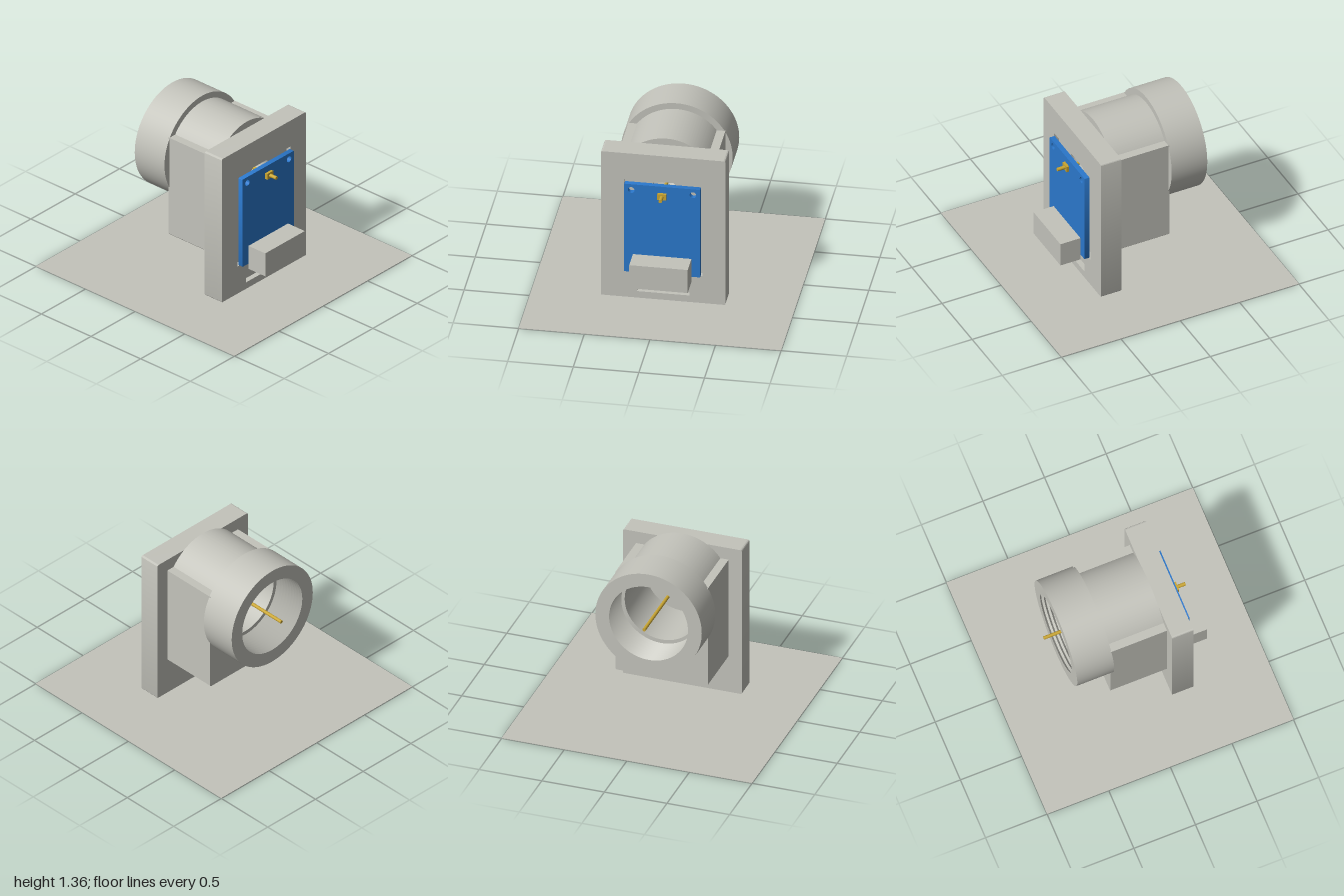
import * as THREE from 'three';
import { toCreasedNormals } from 'three/addons/utils/BufferGeometryUtils.js';

const AXIS_Y = 0.93; // height of the bore and connector axis

export function createModel() {
  const group = new THREE.Group();
  const mat = (name, color) => {
    const m = new THREE.MeshStandardMaterial({ color });
    m.name = name;
    return m;
  };
  const grey = mat('warm grey', 0xc3c3bb);
  const blue = mat('board blue', 0x2b78cc);
  const gold = mat('gold', 0xcaa632);

  const add = (name, geometry, material) => {
    const mesh = new THREE.Mesh(geometry, material);
    mesh.name = name;
    group.add(mesh);
    return mesh;
  };
  // box given by its extents
  const box = (name, x0, x1, y0, y1, halfZ, material) =>
    add(name, new THREE.BoxGeometry(x1 - x0, y1 - y0, 2 * halfZ), material)
      .position.set((x0 + x1) / 2, (y0 + y1) / 2, 0);
  // outline in the z-y plane, extruded along x
  const slab = (name, shape, x0, x1, material) => {
    const g = new THREE.ExtrudeGeometry(shape, { depth: x1 - x0, bevelEnabled: false, curveSegments: 48 });
    g.rotateY(Math.PI / 2).translate(x0, 0, 0);
    return add(name, toCreasedNormals(g, 0.5), material);
  };
  const rod = (name, x0, x1, r, material) => {
    const g = new THREE.CylinderGeometry(r, r, x1 - x0, 24).rotateZ(-Math.PI / 2);
    add(name, g, material).position.set((x0 + x1) / 2, AXIS_Y, 0);
  };
  const circle = (cx, cy, r) => new THREE.Path().absarc(cx, cy, r, 0, Math.PI * 2, true);
  const rounded = (halfW, y0, y1, r) => {
    const s = new THREE.Shape();
    s.absarc(halfW - r, y0 + r, r, -Math.PI / 2, 0);
    s.absarc(halfW - r, y1 - r, r, 0, Math.PI / 2);
    s.absarc(-halfW + r, y1 - r, r, Math.PI / 2, Math.PI);
    s.absarc(-halfW + r, y0 + r, r, Math.PI, Math.PI * 1.5);
    s.closePath();
    return s;
  };

  // Ground sheet
  box('groundSheet', -1, 1, 0, 0.004, 1, grey);

  // Upright plate: rear layer with cable hole, outer layer with stepped pocket
  const pocketFloor = 0.36;
  const rear = rounded(0.475, 0, 1.25, 0.015);
  rear.holes.push(circle(0, AXIS_Y, 0.1));
  slab('plateRear', rear, 0.23, pocketFloor, grey);
  const outer = rounded(0.475, 0, 1.25, 0.015);
  outer.holes.push(new THREE.Path([
    [-0.2, 0.06], [-0.2, 0.24], [-0.3, 0.24], [-0.3, 1.025],
    [0.3, 1.025], [0.3, 0.24], [0.2, 0.24], [0.2, 0.06], [-0.2, 0.06],
  ].map(([x, y]) => new THREE.Vector2(x, y))));
  slab('plateOuter', outer, pocketFloor, 0.402, grey);

  // Housing: square block merging into a round barrel, bored through
  const R = 0.375, shelf = 1.15;
  const a = Math.asin((shelf - AXIS_Y) / R);
  const body = new THREE.Shape();
  body.moveTo(-0.36, 0.305);
  body.lineTo(0.36, 0.305);
  body.lineTo(0.37, 0.315);
  body.lineTo(0.37, shelf);
  body.absarc(0, AXIS_Y, R, a, Math.PI - a);
  body.lineTo(-0.37, shelf);
  body.lineTo(-0.37, 0.315);
  body.closePath();
  body.holes.push(circle(0, AXIS_Y, 0.295));
  slab('housing', body, -0.23, 0.23, grey);

  // Mount ring with internal thread
  const x0 = -0.52, x1 = -0.22, turns = 10;
  const profile = [[0.315, x0], [0.425, x0], [0.425, x1], [0.315, x1]];
  for (let i = turns - 1; i >= 0; i--) {
    const step = (x1 - x0) / turns;
    profile.push([0.332, x0 + (i + 0.5) * step], [0.315, x0 + i * step]);
  }
  const ring = new THREE.LatheGeometry(profile.map(([r, y]) => new THREE.Vector2(r, y)), 96);
  ring.rotateZ(-Math.PI / 2);
  add('threadedRing', toCreasedNormals(ring, 0.5), grey).position.y = AXIS_Y;

  // Circuit board with two mounting holes
  const board = rounded(0.29, 0.25, 1.01, 0.004);
  for (const s of [-1, 1]) board.holes.push(circle(s * 0.235, 0.96, 0.025));
  slab('circuitBoard', board, 0.405, 0.446, blue);

  // Plug block at the foot of the board
  box('plugBlock', 0.446, 0.615, 0.205, 0.405, 0.223, grey);

  // Coaxial connector and long probe
  box('connectorFlange', 0.446, 0.467, 0.905, 0.955, 0.034, gold);
  rod('connectorPin', 0.467, 0.53, 0.014, gold);
  rod('probe', -0.62, 0.405, 0.013, gold);

  return group;
}
